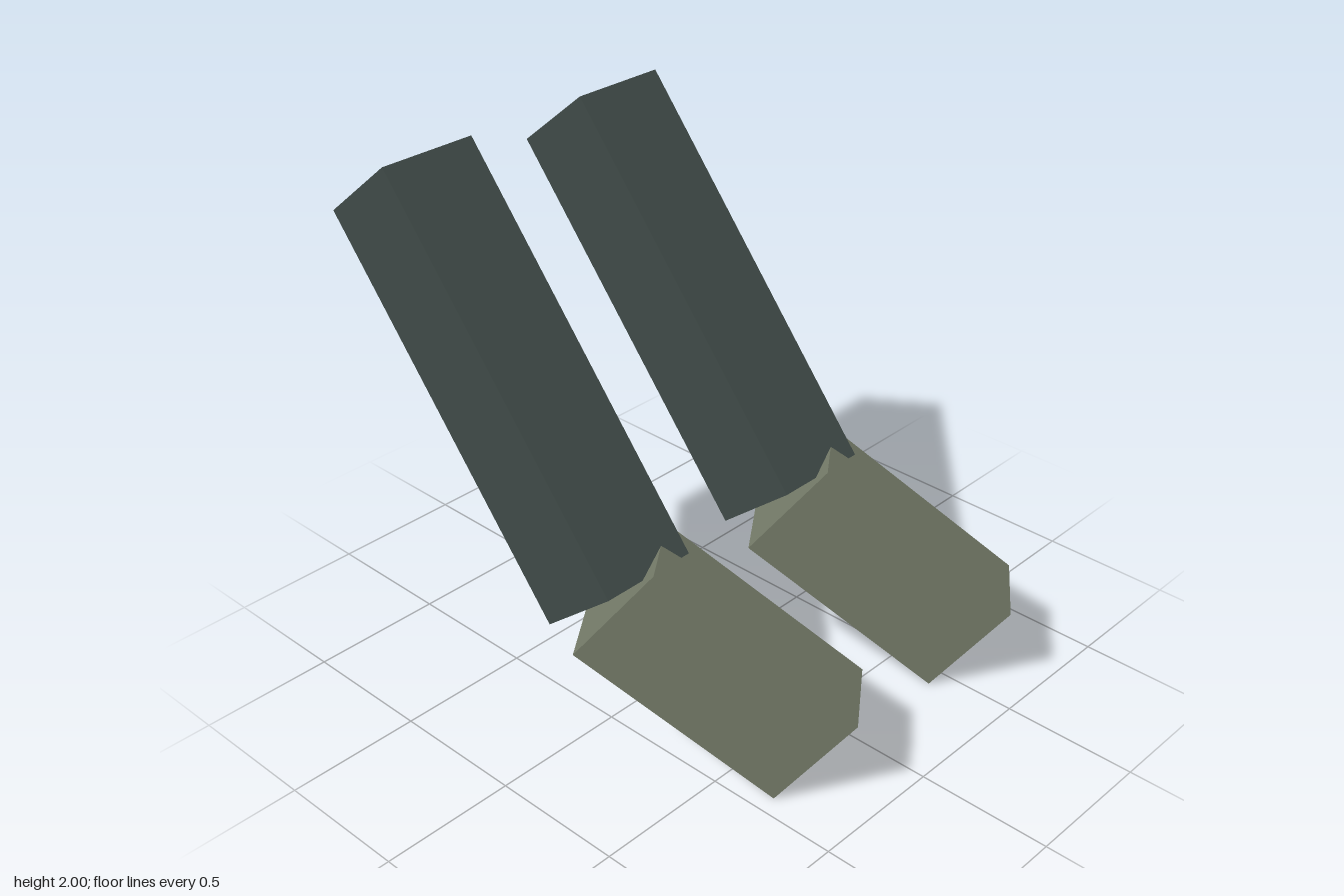
import * as THREE from 'three';

const deg = THREE.MathUtils.degToRad;

function block(name, size, position, yaw, tilt, color) {
  const mesh = new THREE.Mesh(
    new THREE.BoxGeometry(...size),
    new THREE.MeshStandardMaterial({ color, flatShading: true })
  );
  mesh.name = name;
  mesh.position.set(...position);
  // tilt within the vertical plane first, then turn about the upright axis
  mesh.rotation.set(0, deg(yaw), deg(tilt), 'YZX');
  return mesh;
}

export function createModel() {
  const model = new THREE.Group();
  model.name = 'jointedBlockPair';

  // two identical pieces, one behind the other
  [['front', 0.424], ['back', -0.424]].forEach(([side, z]) => {
    const piece = new THREE.Group();
    piece.name = side + 'Piece';
    piece.position.z = z;

    // long dark bar leaning to the upper left
    piece.add(block('upperBar', [0.365, 1.524, 0.365], [-0.298, 1.293, 0.197], 0, 39.2, 0x3f4a47));
    // shorter olive block, turned backwards and sloping to the ground
    piece.add(block('lowerBlock', [0.854, 0.425, 0.308], [0.453, 0.435, -0.001], 36.5, -39.2, 0x747a68));

    model.add(piece);
  });
  return model;
}
